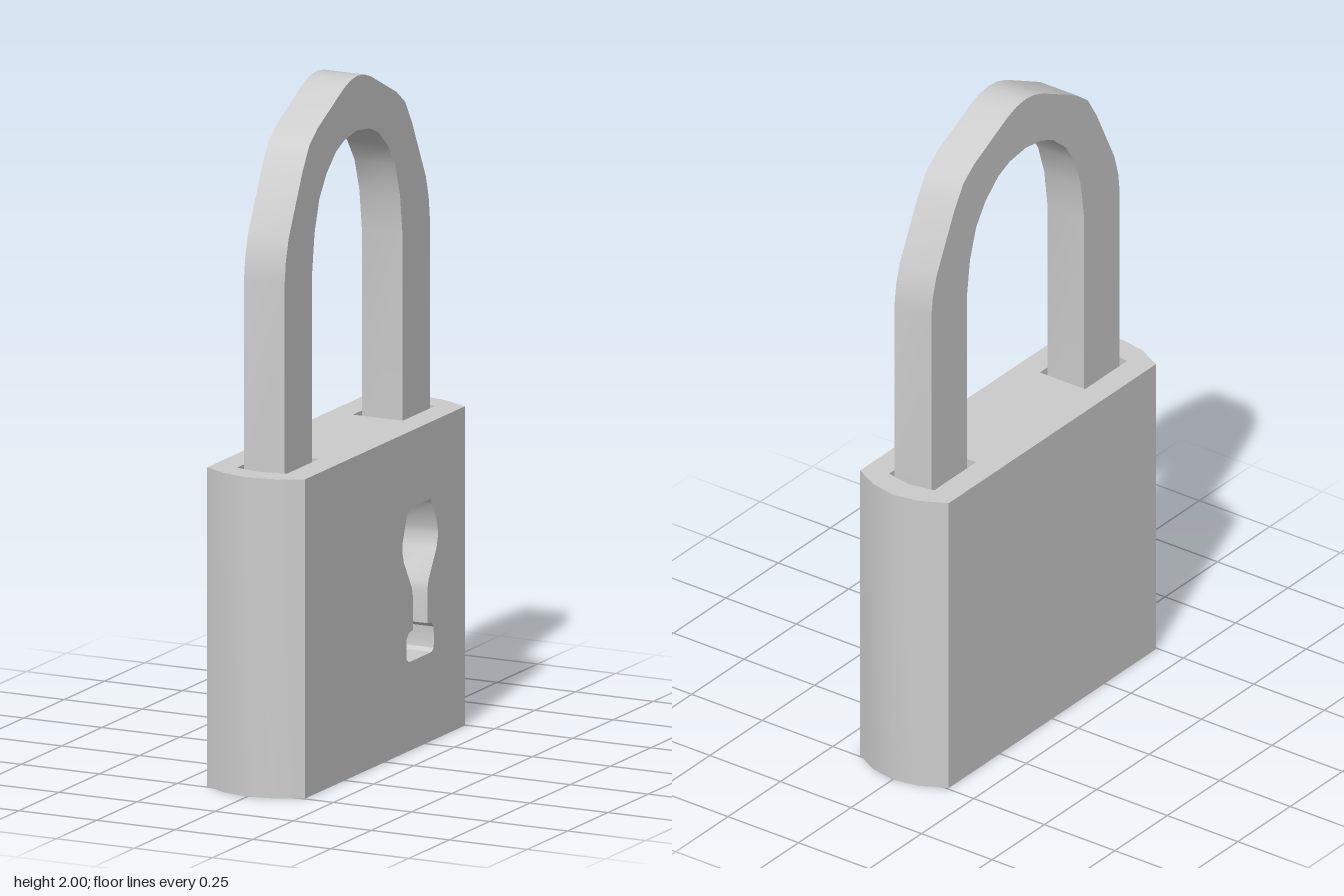
import * as THREE from 'three';
import { mergeGeometries, toCreasedNormals } from 'three/addons/utils/BufferGeometryUtils.js';

const TOP = 0.935, HALF_X = 0.157, HALF_Z = 0.495;
const CREASE = 0.6;

// Counter-clockwise outline from [x, y] pairs
function outline(pairs) {
  const pts = pairs.map(([x, y]) => new THREE.Vector2(x, y));
  return THREE.ShapeUtils.isClockWise(pts) ? pts.reverse() : pts;
}

// Closed outline from its right half, mirrored about x = cx
function mirrored(half, cx = 0) {
  const left = half.filter(([x]) => x !== 0).reverse();
  return outline([...half.map(([x, y]) => [cx + x, y]), ...left.map(([x, y]) => [cx - x, y])]);
}

// Flat face in the local xy plane, with optional holes
function face(pts, holes = []) {
  const shape = new THREE.Shape(pts);
  shape.holes = holes.map((h) => new THREE.Path(h));
  return new THREE.ShapeGeometry(shape).toNonIndexed();
}

// Wall running down from z = 0 to z = -depth, facing outward for counter-clockwise points
function wall(pts, depth, closed = true) {
  const pos = [], uv = [];
  const count = closed ? pts.length : pts.length - 1;
  for (let i = 0; i < count; i++) {
    const a = pts[i], b = pts[(i + 1) % pts.length];
    for (const [p, z] of [[a, 0], [a, -depth], [b, -depth], [a, 0], [b, -depth], [b, 0]]) {
      pos.push(p.x, p.y, z);
      uv.push(0, 0);
    }
  }
  const g = new THREE.BufferGeometry();
  g.setAttribute('position', new THREE.Float32BufferAttribute(pos, 3));
  g.setAttribute('uv', new THREE.Float32BufferAttribute(uv, 2));
  g.computeVertexNormals();
  return toCreasedNormals(g, CREASE);
}

// Sunken pocket: inward-facing wall plus a floor
function pocket(pts, depth) {
  return mergeGeometries([wall([...pts].reverse(), depth), face(pts).translate(0, 0, -depth)]);
}

// Turn local z to point up, or towards +x
const toTop = (g) => g.rotateX(-Math.PI / 2).translate(0, TOP, 0);
const toSide = (g, x) => g.rotateY(Math.PI / 2).translate(x, 0, 0);

export function createModel() {
  const group = new THREE.Group();
  const material = new THREE.MeshStandardMaterial({ color: 0xcccccc });
  const add = (name, geometry) => {
    const mesh = new THREE.Mesh(geometry, material);
    mesh.name = name;
    group.add(mesh);
  };

  // Plan outline of the body, with rounded ends
  const plan = mirrored([[0, 0.55], [0.08, 0.535], [HALF_X, HALF_Z], [HALF_X, -HALF_Z], [0.08, -0.535], [0, -0.55]]);

  // Slots for the shackle legs
  const slots = [1, -1].map((s) => mirrored([[0, 0.475 * s], [0.08, 0.46 * s], [0.08, 0.26 * s]]));

  // Keyhole outline, on the +x face
  const keyhole = mirrored([
    [0.06, 0.71], [0.083, 0.69], [0.108, 0.62], [0.111, 0.595], [0.102, 0.56], [0.052, 0.475], [0.044, 0.445],
    [0.044, 0.35], [0.07, 0.345], [0.083, 0.332], [0.086, 0.29], [0.083, 0.27], [0.07, 0.26],
  ], 0.218);

  // Body shell: wall starts and stops at the +x face, which carries the keyhole
  const start = plan.findIndex((p) => p.x === HALF_X && p.y === HALF_Z);
  const around = plan.map((_, i) => plan[(start + i) % plan.length]);
  const side = outline([[-HALF_Z, 0], [HALF_Z, 0], [HALF_Z, TOP], [-HALF_Z, TOP]]);
  add('body', mergeGeometries([
    toTop(wall(around, TOP, false)),
    toTop(face(plan, slots)),
    face(plan).rotateX(Math.PI / 2),
    toSide(face(side, [keyhole]), HALF_X),
  ]));

  add('keyhole', toSide(pocket(keyhole, 0.12), HALF_X));
  slots.forEach((s, i) => add(i ? 'frontSlot' : 'backSlot', toTop(pocket(s, 0.2))));

  // Shackle: arch with a flat section, legs reaching the slot floors
  const outer = [
    [0.45, 0.735], [0.45, 1.49], [0.443, 1.55], [0.425, 1.615], [0.34, 1.79], [0.297, 1.86],
    [0.244, 1.9], [0.085, 1.98], [0.042, 1.995], [0, 2],
  ];
  const inner = [
    [0, 1.84], [0.075, 1.83], [0.13, 1.807], [0.19, 1.755], [0.235, 1.69], [0.265, 1.595], [0.28, 1.48], [0.28, 0.735],
  ];
  const flip = (list) => list.filter(([x]) => x > 0).reverse().map(([x, y]) => [-x, y]);
  const arch = outline([...outer, ...flip(outer), ...flip(inner), ...inner]);
  const shackle = new THREE.ExtrudeGeometry(new THREE.Shape(arch), { depth: 0.13, bevelEnabled: false });
  add('shackle', toSide(toCreasedNormals(shackle, CREASE), -0.062));

  return group;
}
